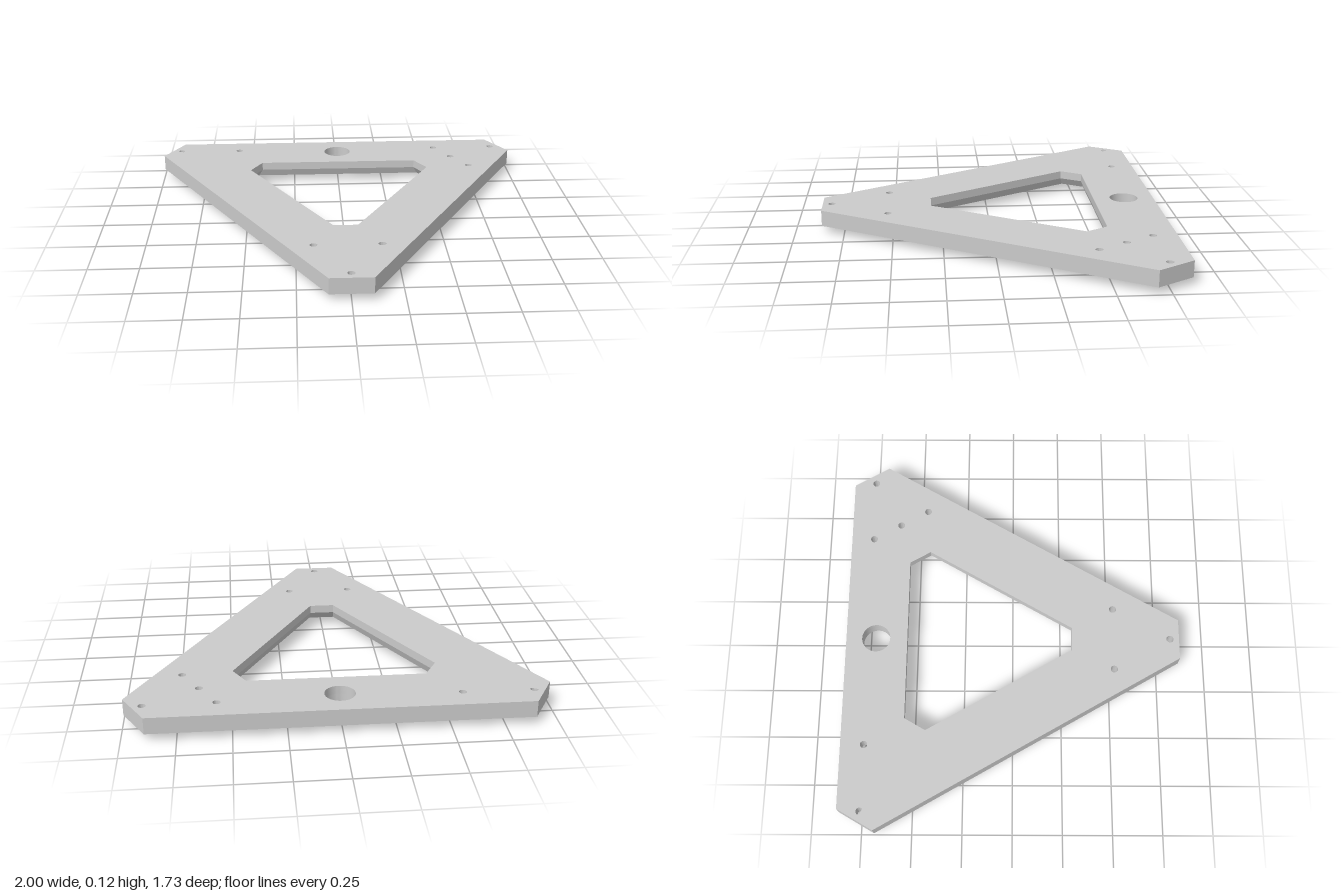
import * as THREE from 'three';
import { toCreasedNormals } from 'three/addons/utils/BufferGeometryUtils.js';

const CENTRE_Z = -0.228; // axis of the threefold symmetry
const BOTTOM = 0.036, MIDDLE = 0.076, TOP = 0.118;
const SKEW = 0.2; // outlines are drawn turned by this angle so that no holes line up when triangulated
const SOCKET = { x: 0.06, y: 0.0232, z: 0.687, rim: 0.05, depth: 0.028, tilt: 0.405 };

const material = new THREE.MeshStandardMaterial({ color: 0xcccccc });
const openMaterial = new THREE.MeshStandardMaterial({ color: 0xcccccc, side: THREE.DoubleSide });

// A point of the plan, in shape space (y = -z)
function planPoint(x, z) {
  return new THREE.Vector2(x, -z).rotateAround(new THREE.Vector2(), SKEW);
}

// Repeat points of the front corner at all three corners, counter-clockwise
function threefold(points) {
  const out = [];
  for (let i = 0; i < 3; i++) {
    const c = Math.cos(i * Math.PI * 2 / 3), s = Math.sin(i * Math.PI * 2 / 3);
    for (const [x, z] of points) {
      const d = z - CENTRE_Z;
      out.push(planPoint(x * c + d * s, CENTRE_Z + d * c - x * s));
    }
  }
  return out;
}

function circle(p, r) {
  return new THREE.Path().absarc(p.x, p.y, r, 0, Math.PI * 2, true);
}

// One layer of the frame, with its through holes and any extra cut-outs
function layer(y0, y1, extraHoles = []) {
  const shape = new THREE.Shape(threefold([[-0.105, 0.864], [0.105, 0.864]]));
  shape.holes.push(new THREE.Path(threefold([[-0.062, 0.305], [0.062, 0.305]]).reverse()));
  for (const p of threefold([[0, 0.817], [0, 0.523], [0.165, 0.523], [-0.165, 0.523]])) {
    shape.holes.push(circle(p, 0.0185));
  }
  shape.holes.push(circle(planPoint(0, -0.71), 0.073), ...extraHoles);
  const geo = new THREE.ExtrudeGeometry(shape, { depth: y1 - y0, bevelEnabled: false, curveSegments: 20 });
  return geo.rotateX(-Math.PI / 2).rotateY(-SKEW).translate(0, y0, 0);
}

// Widen the underside of the central opening into a bevel
function bevelOpening(geo) {
  const pos = geo.attributes.position;
  for (let i = 0; i < pos.count; i++) {
    const x = pos.getX(i), z = pos.getZ(i), d = z - CENTRE_Z;
    if (pos.getY(i) < BOTTOM + 0.001 && z > -0.6 && Math.hypot(x, d) < 0.54) {
      pos.setX(i, x * 1.05);
      pos.setZ(i, CENTRE_Z + d * 1.05);
    }
  }
  return geo;
}

// Left socket of the front corner: a tilted spherical dish in a shallow cone with a steep flank,
// cut off at the mid plane where it meets its mirror twin
function socketGeometry() {
  const { x, y, z, rim, depth, tilt } = SOCKET;
  const R = (rim * rim + depth * depth) / (2 * depth);
  const profile = [];
  for (let i = 0; i <= 10; i++) {
    const r = rim * i / 10;
    profile.push(new THREE.Vector2(r, R - depth - Math.sqrt(R * R - r * r)));
  }
  profile.push(new THREE.Vector2(0.078, -0.008), new THREE.Vector2(0.1, -0.05));
  const geo = new THREE.LatheGeometry(profile, 48);
  const s = Math.sin(tilt) * Math.SQRT1_2;
  const facing = new THREE.Vector3(s, -Math.cos(tilt), -s);
  const turn = new THREE.Quaternion().setFromUnitVectors(new THREE.Vector3(0, 1, 0), facing);
  geo.applyQuaternion(turn).translate(x, y, z - CENTRE_Z);
  const pos = geo.attributes.position;
  for (let i = 0; i < pos.count; i++) pos.setX(i, Math.max(pos.getX(i), 0));
  return toCreasedNormals(geo, 0.6);
}

export function createModel() {
  const model = new THREE.Group();
  model.name = 'triangularMountingFrame';

  // Frame plate in two layers; the lower one is opened above each dish
  const pockets = threefold([[SOCKET.x, SOCKET.z], [-SOCKET.x, SOCKET.z]]).map((p) => circle(p, 0.046));
  const upper = new THREE.Mesh(toCreasedNormals(layer(MIDDLE, TOP), 0.4), material);
  upper.name = 'upperPlate';
  const lower = new THREE.Mesh(toCreasedNormals(bevelOpening(layer(BOTTOM, MIDDLE, pockets)), 0.4), material);
  lower.name = 'lowerPlate';
  model.add(upper, lower);

  // Pair of tilted ball sockets below each corner
  const geo = socketGeometry();
  for (let i = 0; i < 3; i++) {
    const corner = new THREE.Group();
    corner.name = 'cornerSockets';
    corner.position.z = CENTRE_Z;
    corner.rotation.y = i * Math.PI * 2 / 3;
    for (const side of [1, -1]) {
      const socket = new THREE.Mesh(geo, openMaterial);
      socket.name = side > 0 ? 'leftBallSocket' : 'rightBallSocket';
      socket.scale.x = side;
      corner.add(socket);
    }
    model.add(corner);
  }
  return model;
}
